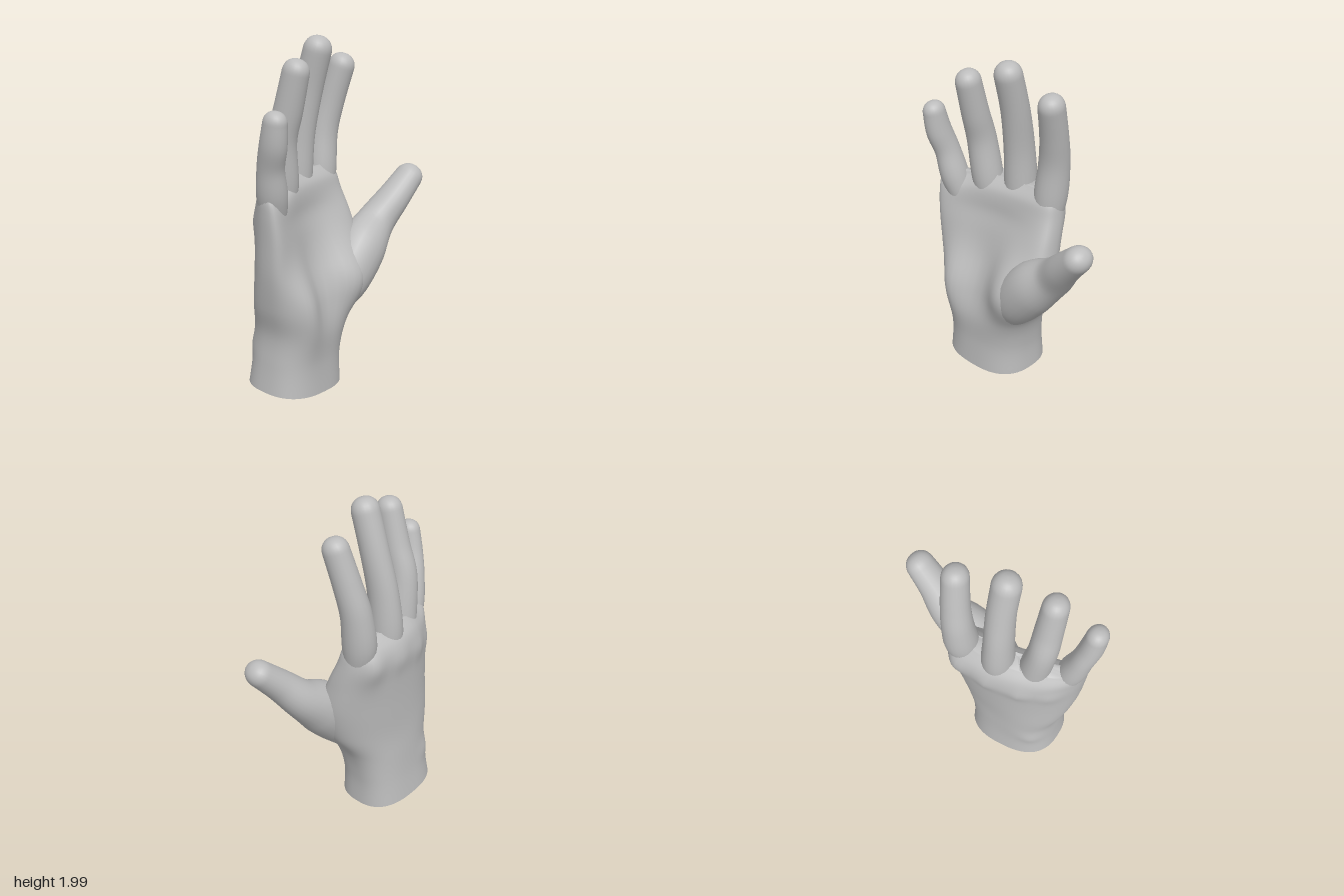
import * as THREE from 'three';
import { toCreasedNormals } from 'three/addons/utils/BufferGeometryUtils.js';

// Catmull-Rom sample of rows of numbers, t in 0..1
function sample(rows, t) {
  const n = rows.length - 1;
  const i = Math.min(Math.floor(t * n), n - 1);
  const f = t * n - i;
  const row = (k) => rows[Math.max(0, Math.min(n, k))];
  return rows[0].map((_, c) => {
    const [a, b, d, e] = [row(i - 1)[c], row(i)[c], row(i + 1)[c], row(i + 2)[c]];
    return b + 0.5 * f * (d - a + f * (2 * a - 5 * b + 4 * d - e + f * (3 * (b - d) + e - a)));
  });
}

// Skin over closed rings of points, with both ends closed
function loft(rings) {
  const n = rings[0].length;
  const positions = [];
  const index = [];
  for (const ring of rings) for (const p of ring) positions.push(p.x, p.y, p.z);
  for (let i = 0; i < rings.length - 1; i++) {
    for (let j = 0; j < n; j++) {
      const a = i * n + j, b = i * n + (j + 1) % n;
      index.push(a, b, a + n, b, b + n, a + n);
    }
  }
  for (const [r, last] of [[0, false], [rings.length - 1, true]]) {
    const centre = new THREE.Vector3();
    rings[r].forEach((p) => centre.addScaledVector(p, 1 / n));
    const c = positions.length / 3;
    positions.push(centre.x, centre.y, centre.z);
    for (let j = 0; j < n; j++) {
      const a = r * n + j, b = r * n + (j + 1) % n;
      if (last) index.push(a, b, c);
      else index.push(b, a, c);
    }
  }
  const geometry = new THREE.BufferGeometry();
  geometry.setAttribute('position', new THREE.Float32BufferAttribute(positions, 3));
  geometry.setIndex(index);
  geometry.computeVertexNormals();
  return geometry;
}

// Finger along rows of [x, y, z, depth radius, width radius], with a blunt round tip
function fingerGeometry(rows) {
  const rings = [];
  const sides = 22, steps = 28, capSteps = 8;
  const addRing = (t, cap) => {
    const [x, y, z, rx, rz] = sample(rows, t);
    const before = sample(rows, Math.max(0, t - 0.02));
    const after = sample(rows, Math.min(1, t + 0.02));
    const along = new THREE.Vector3(after[0] - before[0], after[1] - before[1], after[2] - before[2]).normalize();
    const depth = new THREE.Vector3(1, 0, 0).addScaledVector(along, -along.x).normalize();
    const width = depth.clone().cross(along);
    const centre = new THREE.Vector3(x, y, z).addScaledVector(along, Math.sin(cap) * (rx + rz) / 2);
    const shrink = Math.cos(cap) ** 0.85;
    const ring = [];
    for (let j = 0; j < sides; j++) {
      const a = j / sides * Math.PI * 2;
      ring.push(centre.clone()
        .addScaledVector(width, Math.cos(a) * rz * shrink)
        .addScaledVector(depth, Math.sin(a) * rx * shrink));
    }
    rings.push(ring);
  };
  for (let i = 0; i <= steps; i++) addRing(i / steps, 0);
  for (let i = 1; i <= capSteps; i++) addRing(1, i / capSteps * 1.5);
  return loft(rings);
}

// Palm and wrist: [y, thumb-side z, little-finger-side z, mid x, half depth, tilt, arch, hollow]
const PALM = [
  [0.03, -0.02, 0.54, -0.028, 0.228, 0.02, 0, 0],
  [0.2, -0.02, 0.52, -0.023, 0.215, 0.02, 0, 0],
  [0.38, -0.06, 0.51, -0.005, 0.21, 0.01, -0.015, 0],
  [0.55, -0.16, 0.55, 0.025, 0.195, 0, -0.055, 0.02],
  [0.75, -0.21, 0.58, 0.035, 0.175, 0.025, -0.09, 0.045],
  [0.95, -0.2, 0.59, 0.015, 0.165, 0.06, -0.085, 0.055],
  [1.1, -0.18, 0.595, -0.01, 0.14, 0.085, -0.085, 0.04],
  [1.19, -0.16, 0.59, -0.02, 0.11, 0.085, -0.08, 0.01],
  [1.25, -0.11, 0.56, -0.03, 0.05, 0.075, -0.065, 0],
];

// Soft swellings: [y, z, y spread, z spread, height], positive toward the palm
const SWELLINGS = [
  [0.56, 0.42, 0.24, 0.13, 0.1],
  [0.67, -0.02, 0.2, 0.16, 0.12],
  [1.12, 0.2, 0.07, 0.3, 0.02],
  [1.1, -0.09, 0.12, 0.08, -0.045],
  [1.08, 0.14, 0.08, 0.06, -0.015],
  [1.06, 0.33, 0.08, 0.06, -0.02],
  [1.02, 0.49, 0.08, 0.06, -0.02],
  [0.28, 0.45, 0.07, 0.07, -0.02],
];

function palmGeometry() {
  const rings = [];
  const sides = 56, steps = 56;
  const square = (v) => Math.sign(v) * Math.abs(v) ** 0.78;
  for (let i = 0; i <= steps; i++) {
    const [y, z0, z1, mid, depth, tilt, arch, hollow] = sample(PALM, i / steps);
    const ring = [];
    for (let j = 0; j < sides; j++) {
      const a = j / sides * Math.PI * 2;
      const u = square(Math.cos(a)), w = square(Math.sin(a));
      const z = (z0 + z1) / 2 + u * (z1 - z0) / 2;
      let x = mid + tilt * u + arch * (1 - u * u) + depth * w;
      if (w > 0) x -= hollow * w * (1 - u * u);
      for (const [sy, sz, ry, rz, h] of SWELLINGS) {
        if (w * h > 0) x += h * Math.abs(w) * Math.exp(-(((y - sy) / ry) ** 2) - ((z - sz) / rz) ** 2);
      }
      // the cut of the wrist slopes a little, and the web beside the little finger dips
      const wrist = Math.max(0, 1 - y / 0.3) * (-0.06 * x + 0.07 * (z - 0.25));
      const web = -0.04 * Math.exp(-(((z - 0.46) / 0.1) ** 2)) * THREE.MathUtils.smoothstep(y, 1, 1.25);
      ring.push(new THREE.Vector3(x, y + wrist + web, z));
    }
    rings.push(ring);
  }
  return toCreasedNormals(loft(rings), 0.9);
}

const FINGERS = {
  indexFinger: [
    [-0.1, 0.98, -0.07, 0.06, 0.07], [-0.135, 1.2, -0.085, 0.1, 0.095], [-0.135, 1.42, -0.11, 0.092, 0.088],
    [-0.1, 1.6, -0.14, 0.083, 0.08], [-0.045, 1.8, -0.17, 0.078, 0.074],
  ],
  middleFinger: [
    [-0.11, 0.98, 0.14, 0.07, 0.08], [-0.12, 1.2, 0.14, 0.1, 0.092], [-0.1, 1.45, 0.13, 0.095, 0.083],
    [-0.05, 1.7, 0.11, 0.085, 0.08], [0.01, 1.92, 0.1, 0.08, 0.08],
  ],
  ringFinger: [
    [-0.07, 0.98, 0.32, 0.07, 0.08], [-0.045, 1.2, 0.335, 0.095, 0.09], [-0.025, 1.45, 0.36, 0.09, 0.083],
    [0.025, 1.63, 0.355, 0.083, 0.078], [0.075, 1.83, 0.35, 0.077, 0.072],
  ],
  littleFinger: [
    [0.01, 0.96, 0.46, 0.06, 0.06], [0.05, 1.18, 0.515, 0.088, 0.08], [0.075, 1.35, 0.55, 0.08, 0.068],
    [0.115, 1.48, 0.572, 0.08, 0.068], [0.137, 1.6, 0.58, 0.069, 0.062],
  ],
  // the thumb's root blends into the mound of the palm
  thumb: [
    [0.04, 0.42, 0.04, 0.08, 0.08], [0.09, 0.57, -0.04, 0.13, 0.14], [0.095, 0.74, -0.18, 0.145, 0.155],
    [0.09, 0.87, -0.33, 0.115, 0.115], [0.13, 1, -0.45, 0.1, 0.092], [0.155, 1.11, -0.56, 0.088, 0.078],
  ],
};

export function createModel() {
  const hand = new THREE.Group();
  hand.name = 'hand';
  const skin = new THREE.MeshStandardMaterial({ color: 0xbcbcbc });
  skin.name = 'light grey';
  const add = (name, geometry) => {
    const mesh = new THREE.Mesh(geometry, skin);
    mesh.name = name;
    hand.add(mesh);
  };
  add('palmAndWrist', palmGeometry());
  for (const [name, rows] of Object.entries(FINGERS)) add(name, fingerGeometry(rows));
  return hand;
}
